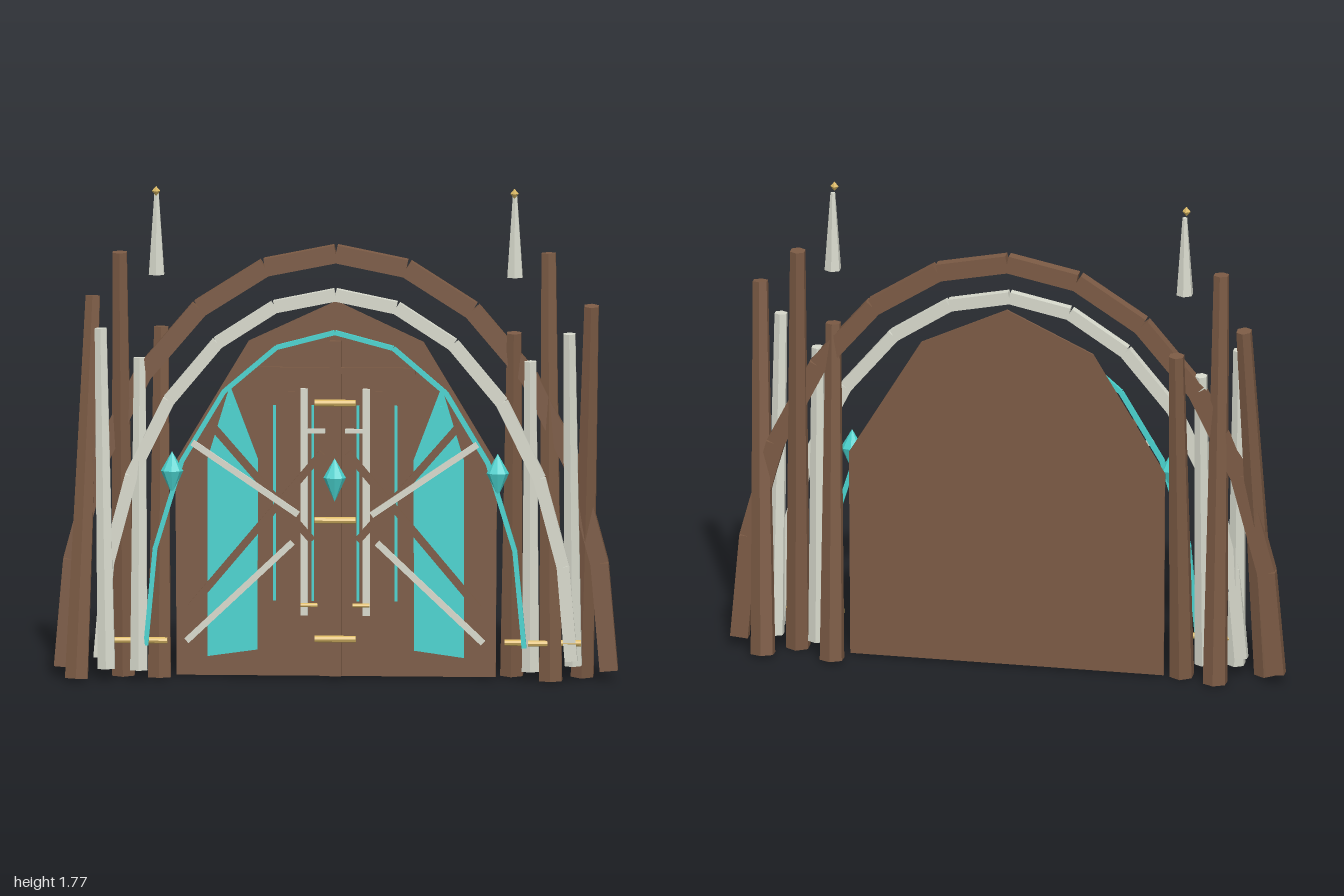
import * as THREE from 'three';

export function createModel() {
  const mat = (name, color) => {
    const m = new THREE.MeshStandardMaterial({ color, flatShading: true });
    m.name = name;
    return m;
  };
  const wood = mat('brown wood', 0x7c5b45);
  const pale = mat('pale bone', 0xd8dacd);
  const teal = mat('teal crystal', 0x4ad4d0);
  const gold = mat('gold metal', 0xdcba66);

  const root = new THREE.Group();
  root.name = 'archedGate';
  const add = (name, geo, m, x = 0, y = 0, z = 0) => {
    const mesh = new THREE.Mesh(geo, m);
    mesh.name = name;
    mesh.position.set(x, y, z);
    root.add(mesh);
    return mesh;
  };
  const box = (name, m, w, h, d, x, y, z) => add(name, new THREE.BoxGeometry(w, h, d), m, x, y, z);

  // Horizontal round rod
  const rod = (name, m, length, r, x, y, z) => {
    add(name, new THREE.CylinderGeometry(r, r, length, 8), m, x, y, z).rotation.z = Math.PI / 2;
  };

  // Flat bar between two points in the XY plane
  const bar = (name, m, a, b, width, depth, z) => {
    const dx = b[0] - a[0], dy = b[1] - a[1];
    const mesh = box(name, m, Math.hypot(dx, dy), width, depth, (a[0] + b[0]) / 2, (a[1] + b[1]) / 2, z);
    mesh.rotation.z = Math.atan2(dy, dx);
  };

  // Tapered six-sided post between two points in space
  const post = (name, m, a, b, r0, r1) => {
    const p = new THREE.Vector3(...a), q = new THREE.Vector3(...b);
    const dir = q.clone().sub(p);
    const mesh = add(name, new THREE.CylinderGeometry(r1, r0, dir.length(), 6), m);
    mesh.position.copy(p).add(q).multiplyScalar(0.5);
    mesh.quaternion.setFromUnitVectors(new THREE.Vector3(0, 1, 0), dir.normalize());
  };

  // Half-elliptical arch of straight segments
  const arch = (name, m, rx, ry, base, count, width, depth, z) => {
    const at = (i) => {
      const t = (i / count) * Math.PI;
      return [rx * Math.cos(t), base + ry * Math.sin(t)];
    };
    for (let i = 0; i < count; i++) bar(name, m, at(i), at(i + 1), width, depth, z);
  };

  // Extruded plate from an outline
  const plate = (name, m, pts, depth, z) => {
    const shape = new THREE.Shape(pts.map((p) => new THREE.Vector2(...p)));
    add(name, new THREE.ExtrudeGeometry(shape, { depth, bevelEnabled: false }), m, 0, 0, z);
  };

  // Faceted gem
  const gem = (x, y, z) => {
    const profile = [[0, -0.078], [0.04, 0.008], [0, 0.078]].map((p) => new THREE.Vector2(...p));
    add('gem', new THREE.LatheGeometry(profile, 8), teal, x, y, z).scale.z = 0.68;
  };

  // Thin door leaf
  plate('door', wood, [[-0.565, 0.013], [0.565, 0.013], [0.57, 0.775], [0.31, 1.21],
    [0, 1.355], [-0.31, 1.21], [-0.57, 0.775]], 0.008, -0.02);

  // Arches
  arch('outerArch', wood, 0.967, 1.485, 0.042, 12, 0.064, 0.04, 0);
  arch('innerArch', pale, 0.835, 1.305, 0.08, 12, 0.045, 0.03, 0.035);
  arch('crystalTrim', teal, 0.67, 1.125, 0.13, 10, 0.017, 0.014, 0.07);

  // Centre bar, cross rail, gold rods and centre gem
  box('centreBar', wood, 0.04, 1.2, 0.025, 0, 0.62, 0.035);
  box('crossRail', wood, 0.57, 0.022, 0.012, 0, 1.115, 0.044);
  for (const y of [0.155, 0.58, 1.0]) rod('goldRod', gold, 0.145, 0.012, 0, y, 0.053);
  gem(0, 0.73, 0.09);

  // Mirrored door details
  for (const s of [-1, 1]) {
    const panel = [[0.278, 0.11], [0.455, 0.085], [0.455, 0.79], [0.375, 1.055], [0.275, 0.79]]
      .map(([x, y]) => [s * x, y]);
    plate('crystalPanel', teal, panel, 0.007, 0.012);
    box('crystalStrip', teal, 0.01, 0.74, 0.01, s * 0.375, 0.62, 0.045);
    box('crystalStrip', teal, 0.01, 0.7, 0.01, s * 0.215, 0.64, 0.045);
    box('crystalStrip', teal, 0.01, 0.7, 0.01, s * 0.08, 0.64, 0.045);
    box('uprightSlat', wood, 0.025, 0.96, 0.014, s * 0.155, 0.56, 0.046);
    box('paleUpright', pale, 0.026, 0.81, 0.02, s * 0.11, 0.645, 0.05);
    box('paleRung', pale, 0.065, 0.015, 0.016, s * 0.068, 0.9, 0.055);
    rod('goldClip', gold, 0.06, 0.007, s * 0.092, 0.277, 0.062);

    // Crossed braces
    bar('woodBrace', wood, [s * 0.51, 0.27], [s * 0.045, 0.825], 0.026, 0.012, 0.073);
    bar('woodBrace', wood, [s * 0.445, 0.93], [s * 0.08, 0.51], 0.026, 0.012, 0.073);
    bar('paleBrace', pale, [s * 0.505, 0.86], [s * 0.13, 0.605], 0.022, 0.012, 0.086);
    bar('paleBrace', pale, [s * 0.15, 0.505], [s * 0.525, 0.15], 0.022, 0.012, 0.086);

    gem(s * 0.577, 0.748, 0.073);

    // Floating spire and its finial
    add('spire', new THREE.CylinderGeometry(0.009, 0.031, 0.29, 6), pale, s * 0.635, 1.595, 0.015);
    add('finial', new THREE.OctahedronGeometry(0.015), gold, s * 0.635, 1.753, 0.045).scale.y = 1.2;
  }

  // Leaning wooden posts: bottom, top
  const woodPosts = [
    [[-0.915, 0.012, 0.085], [-0.865, 1.36, -0.068]],
    [[-0.755, 0.008, -0.04], [-0.765, 1.53, 0.025]],
    [[-0.625, 0.008, 0.01], [-0.623, 1.25, -0.075]],
    [[0.868, 0.012, -0.08], [0.91, 1.36, 0.085]],
    [[0.762, 0.008, 0.025], [0.752, 1.53, -0.033]],
    [[0.618, 0.012, -0.085], [0.632, 1.25, 0.01]],
  ];
  for (const [a, b] of woodPosts) post('woodPost', wood, a, b, 0.046, 0.029);

  // Slimmer pale posts
  const palePosts = [
    [[-0.81, 0.045, 0.065], [-0.833, 1.255, 0.013]],
    [[-0.695, 0.04, 0.06], [-0.695, 1.15, 0.005]],
    [[0.84, 0.06, 0.0], [0.83, 1.255, 0.055]],
    [[0.69, 0.04, 0.015], [0.69, 1.15, 0.02]],
  ];
  for (const [a, b] of palePosts) post('palePost', pale, a, b, 0.035, 0.024);

  // Gold bindings at the post feet
  for (const [x, z] of [[-0.757, 0.05], [-0.63, 0.05], [0.635, 0.04], [0.718, 0.053], [0.835, 0.04]]) {
    rod('footBinding', gold, 0.07, 0.011, x, 0.145, z);
  }
  return root;
}
